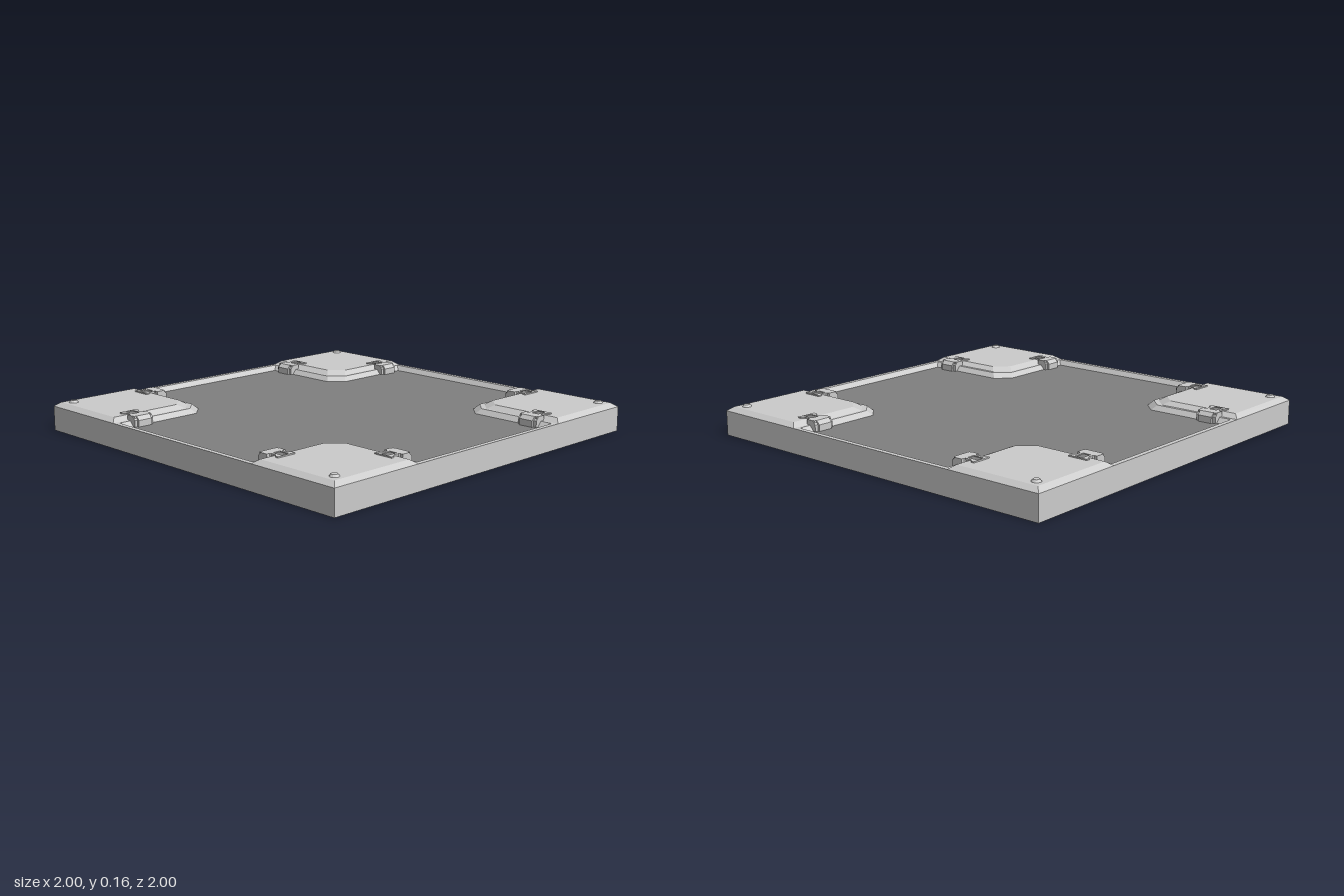
import * as THREE from 'three';

const RIM = 0.125, FLOOR = 0.1, PLATE = 0.145, CLIP = 0.151;
const grey = new THREE.MeshStandardMaterial({ color: 0xcccccc, flatShading: true, side: THREE.DoubleSide });
const dark = new THREE.MeshStandardMaterial({ color: 0x808080, side: THREE.DoubleSide });

function add(parent, name, geometry, material = grey) {
  const mesh = new THREE.Mesh(geometry, material);
  mesh.name = name;
  parent.add(mesh);
  return mesh;
}

const shapeOf = (pts) => new THREE.Shape(pts.map(([x, z]) => new THREE.Vector2(x, z)));

// Plan shape (x, z) laid flat, rising from y0 to y1
function slab(shape, y0, y1) {
  const g = new THREE.ExtrudeGeometry(shape, { depth: y1 - y0, bevelEnabled: false, curveSegments: 8 });
  return g.rotateX(Math.PI / 2).translate(0, y1, 0);
}

// Flat plan shape at height y, facing up
function sheet(pts, y) {
  const flipped = pts.map(([x, z]) => [x, -z]);
  return new THREE.ShapeGeometry(shapeOf(flipped)).rotateX(-Math.PI / 2).translate(0, y, 0);
}

// Sloping band between two matching outlines (counter-clockwise in x, z)
function band(low, yLow, high, yHigh) {
  const pos = [];
  low.forEach((a, i) => {
    const j = (i + 1) % low.length;
    const b = low[j], c = high[j], d = high[i];
    pos.push(a[0], yLow, a[1], d[0], yHigh, d[1], c[0], yHigh, c[1]);
    pos.push(a[0], yLow, a[1], c[0], yHigh, c[1], b[0], yLow, b[1]);
  });
  const g = new THREE.BufferGeometry();
  g.setAttribute('position', new THREE.Float32BufferAttribute(pos, 3));
  g.computeVertexNormals();
  return g;
}

// Cross outline with chamfered inner corners: half width w, half length l
function cross(w, l, c = 0.07) {
  const quarter = [[l, w], [w + c, w], [w, w + c], [w, l]];
  const out = [];
  for (let q = 0; q < 4; q++) {
    for (const [x, z] of quarter) {
      out.push([[x, z], [-z, x], [-x, -z], [z, -x]][q]);
    }
  }
  return out;
}

// Corner plate outline, inner edge at a, outer edge at b
const corner = (a, b, c = 0.07) => [[b, a], [b, b], [a, b], [a, a + c], [a + c, a]];

// Clip pointing along -x, wrapped over the lip of the recess
function makeClip() {
  const clip = new THREE.Group();
  clip.name = 'clip';

  // waisted top with a slot
  const top = shapeOf([
    [0.45, -0.05], [0.49, -0.05], [0.505, -0.034], [0.535, -0.034], [0.55, -0.05], [0.567, -0.05],
    [0.567, 0.05], [0.55, 0.05], [0.535, 0.034], [0.505, 0.034], [0.49, 0.05], [0.45, 0.05],
  ]);
  top.holes.push(new THREE.Path([[0.502, -0.02], [0.502, 0.02], [0.558, 0.02], [0.558, -0.02]]
    .map(([x, z]) => new THREE.Vector2(x, z))));
  add(clip, 'clipTop', slab(top, RIM, CLIP));

  const slot = add(clip, 'clipSlot', new THREE.BoxGeometry(0.056, 0.004, 0.04), dark);
  slot.position.set(0.53, PLATE, 0);

  // hook bending down into the recess, with narrower side cheeks
  const hook = (width, nose) => {
    const profile = shapeOf([[0.5, FLOOR], [nose, FLOOR], [nose, 0.132], [nose + 0.018, CLIP], [0.5, CLIP]]);
    return new THREE.ExtrudeGeometry(profile, { depth: width, bevelEnabled: false }).translate(0, 0, -width / 2);
  };
  add(clip, 'clipHook', hook(0.076, 0.43));
  add(clip, 'clipCheeks', hook(0.108, 0.442));
  return clip;
}

export function createModel() {
  const model = new THREE.Group();
  model.name = 'floorTile';

  // Base block and rim around the cross-shaped recess
  const base = add(model, 'base', new THREE.BoxGeometry(2, FLOOR - 0.002, 2));
  base.position.y = (FLOOR - 0.002) / 2;
  const rimLine = cross(0.478, 0.975);
  const floorLine = cross(0.456, 0.955);
  const rim = shapeOf([[-1, -1], [1, -1], [1, 1], [-1, 1]]);
  rim.holes.push(new THREE.Path(rimLine.map(([x, z]) => new THREE.Vector2(x, z))));
  add(model, 'rim', slab(rim, FLOOR - 0.002, RIM));
  add(model, 'recessWall', band(floorLine, FLOOR, rimLine, RIM));
  add(model, 'recessFloor', sheet(floorLine, FLOOR), dark);

  // Four corners: bevelled plate, bolt and two clips
  for (let i = 0; i < 4; i++) {
    const group = new THREE.Group();
    group.name = 'corner';
    group.rotation.y = (i * Math.PI) / 2;
    model.add(group);

    const foot = corner(0.495, 1), top = corner(0.525, 0.972);
    add(group, 'plateBevel', band(foot, RIM, top, PLATE));
    add(group, 'plateTop', sheet(top, PLATE));

    const bolt = add(group, 'bolt', new THREE.CylinderGeometry(0.016, 0.024, 0.012, 12));
    bolt.position.set(0.928, PLATE + 0.005, 0.928);

    const sideClip = makeClip();
    sideClip.position.z = 0.858;
    group.add(sideClip);

    const endClip = makeClip();
    endClip.rotation.y = -Math.PI / 2;
    endClip.position.x = 0.858;
    group.add(endClip);
  }
  return model;
}
